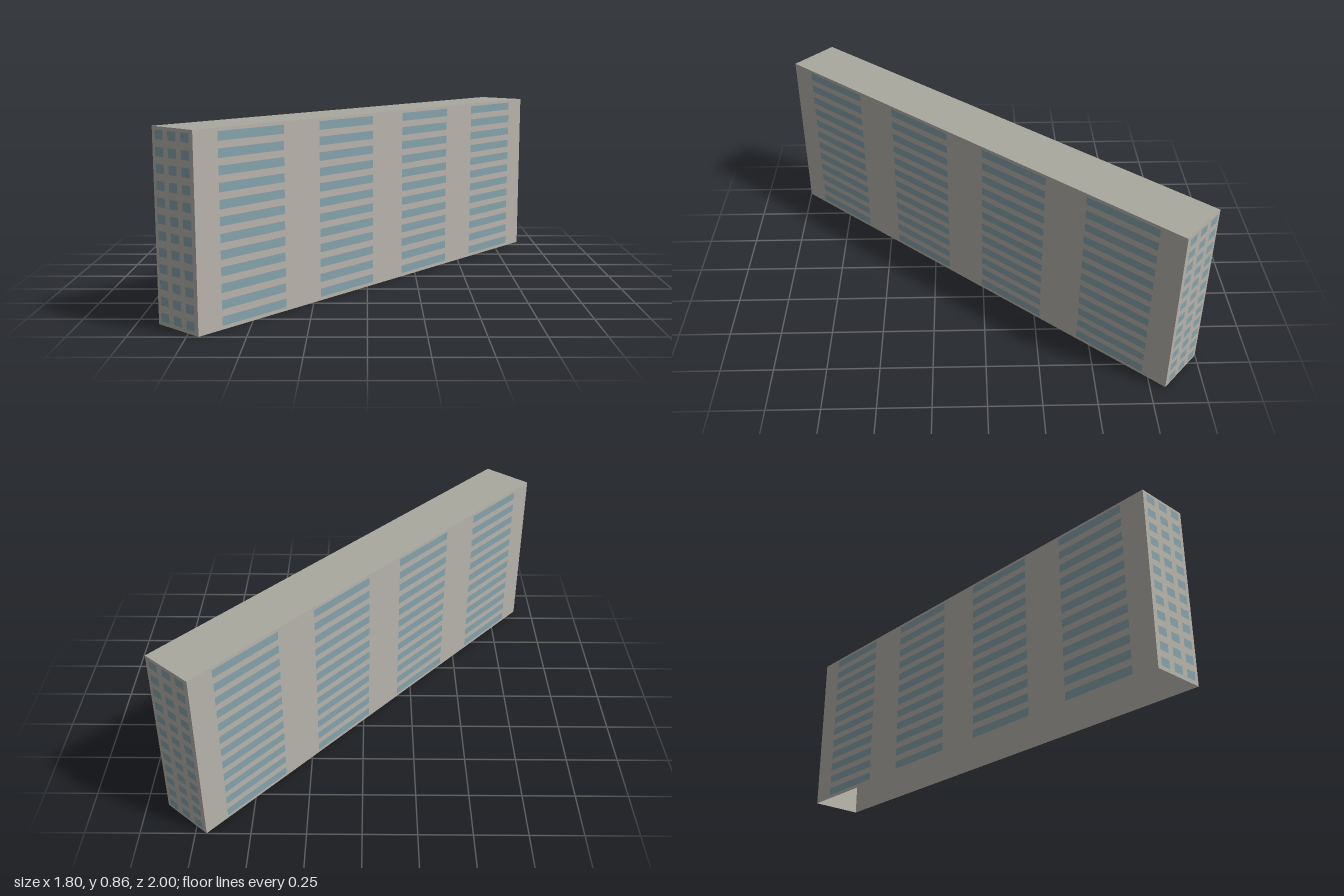
import * as THREE from 'three';
import { mergeGeometries } from 'three/addons/utils/BufferGeometryUtils.js';

const LENGTH = 2.424, DEPTH = 0.268, HEIGHT = 0.86, FLOORS = 12;

export function createModel() {
  const wallMat = new THREE.MeshStandardMaterial({ color: 0xb9b5ac, side: THREE.DoubleSide });
  wallMat.name = 'concrete wall';
  const roofMat = new THREE.MeshStandardMaterial({ color: 0xa9a99f, side: THREE.DoubleSide });
  roofMat.name = 'grey roof';
  const glassMat = new THREE.MeshStandardMaterial({ color: 0x86a3ac });
  glassMat.name = 'blue grey window';

  const model = new THREE.Group();
  model.name = 'slabBuilding';

  // One facade: an open-shell wall with a grid of thin windows on its outside
  function addFacade(name, width, distance, angle, columns, pitch, paneWidth) {
    const facade = new THREE.Group();
    facade.name = name;
    const wall = new THREE.Mesh(new THREE.PlaneGeometry(width, HEIGHT), wallMat);
    wall.name = name + 'Wall';
    wall.position.set(0, HEIGHT / 2, distance);

    const panes = [];
    const storey = HEIGHT / FLOORS;
    for (let row = 0; row < FLOORS; row++) {
      for (let col = 0; col < columns; col++) {
        const pane = new THREE.PlaneGeometry(paneWidth, 0.04);
        pane.translate((col - (columns - 1) / 2) * pitch, (row + 0.52) * storey, distance + 0.002);
        panes.push(pane);
      }
    }
    const windows = new THREE.Mesh(mergeGeometries(panes), glassMat);
    windows.name = name + 'Windows';
    facade.add(wall, windows);
    facade.rotation.y = angle;
    model.add(facade);
  }

  // Two long sides and two narrow ends; the underside stays open
  for (const [i, side] of ['front', 'back'].entries())
    addFacade(side + 'Facade', LENGTH, DEPTH / 2, i * Math.PI, 4, 0.598, 0.374);
  for (const [i, side] of ['left', 'right'].entries())
    addFacade(side + 'End', DEPTH, LENGTH / 2, Math.PI / 2 + i * Math.PI, 3, 0.0855, 0.054);

  // Flat roof
  const roof = new THREE.Mesh(new THREE.PlaneGeometry(LENGTH, DEPTH), roofMat);
  roof.name = 'roof';
  roof.rotation.x = -Math.PI / 2;
  roof.position.y = HEIGHT;
  model.add(roof);

  // The block stands diagonally on its plot
  model.rotation.y = Math.atan2(1.82, 1.6);
  const root = new THREE.Group();
  root.name = 'building';
  root.add(model);
  return root;
}
